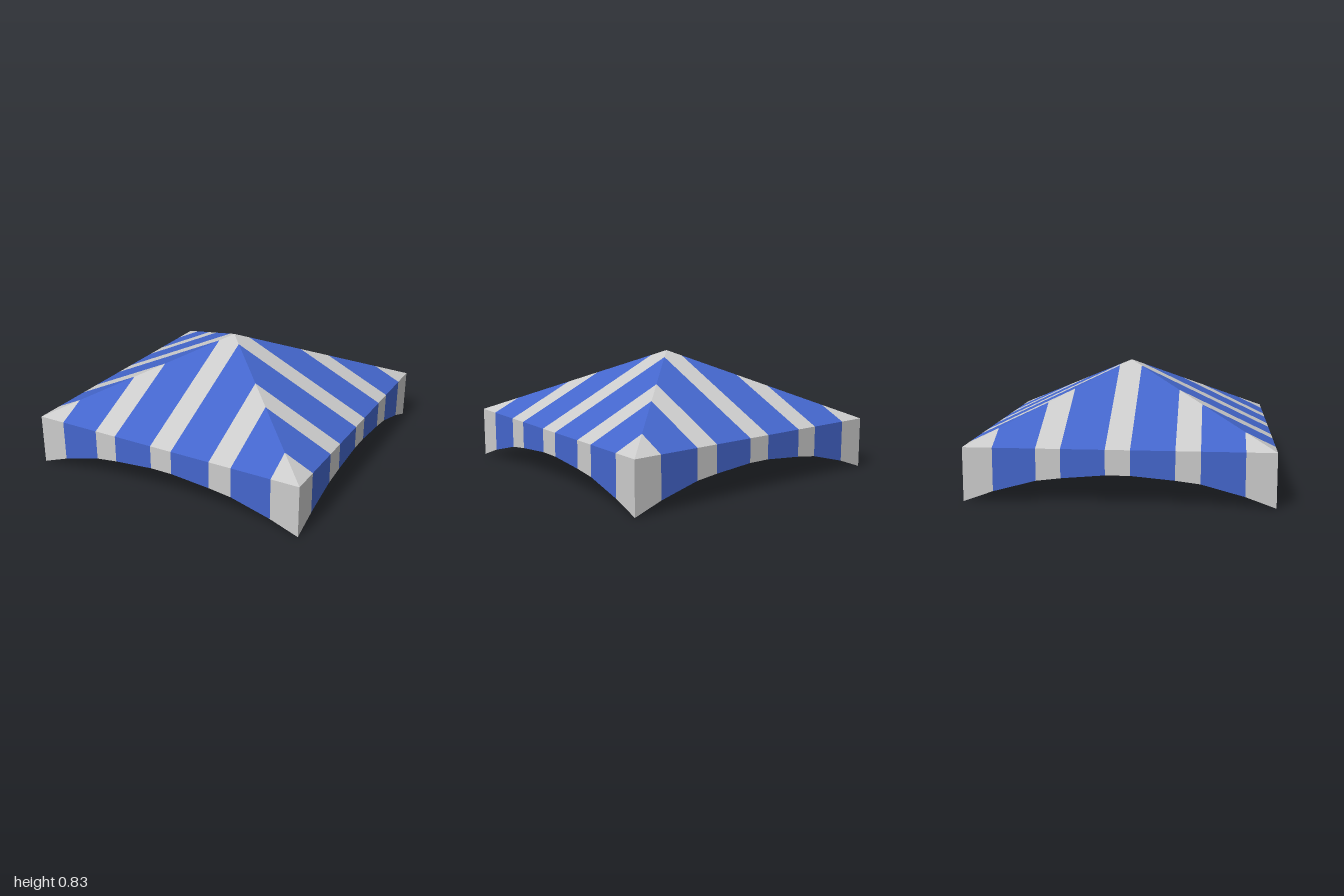
import * as THREE from 'three';

const EAVE = 0.355, APEX = 0.83;
// stripe edges across one side, and the height of the scalloped hem at each edge
const EDGES = [-1, -0.805, -0.525, -0.365, -0.08, 0.08, 0.365, 0.525, 0.805, 1];
const HEM = [0, 0.07, 0.145, 0.165, 0.19, 0.19, 0.165, 0.145, 0.07, 0];

function makeMaterial(color) {
  return new THREE.MeshStandardMaterial({ color, side: THREE.DoubleSide, flatShading: true });
}

function polygon(points) {
  return new THREE.ShapeGeometry(new THREE.Shape(points.map(([x, y]) => new THREE.Vector2(x, y))));
}

// one stripe of the sloping roof, cut off at the hip lines
function roofStripe(a, b) {
  const points = [[a, -1], [b, -1]];
  if (b < 1) points.push([b, -Math.abs(b)]);
  if (a < 0 && b > 0) points.push([0, 0]);
  if (a > -1) points.push([a, -Math.abs(a)]);
  const geometry = polygon(points).rotateX(-Math.PI / 2);
  const pos = geometry.attributes.position;
  for (let i = 0; i < pos.count; i++) {
    pos.setY(i, EAVE + (1 - pos.getZ(i)) * (APEX - EAVE));
  }
  geometry.computeVertexNormals();
  return geometry;
}

// one stripe of the hanging valance
function valanceStripe(i) {
  const a = EDGES[i], b = EDGES[i + 1];
  return polygon([[a, HEM[i]], [b, HEM[i + 1]], [b, EAVE], [a, EAVE]]).translate(0, 0, 1);
}

export function createModel() {
  const model = new THREE.Group();
  model.name = 'canopy';
  const grey = makeMaterial(0xcccccc);
  const blue = makeMaterial(0x4466cc);

  // four identical sides around the apex
  ['front', 'left', 'back', 'right'].forEach((name, k) => {
    const side = new THREE.Group();
    side.name = name + 'Side';
    side.rotation.y = k * Math.PI / 2;
    for (let i = 0; i < EDGES.length - 1; i++) {
      const material = i % 2 ? blue : grey;
      const roof = new THREE.Mesh(roofStripe(EDGES[i], EDGES[i + 1]), material);
      roof.name = 'roofStripe';
      const valance = new THREE.Mesh(valanceStripe(i), material);
      valance.name = 'valanceStripe';
      side.add(roof, valance);
    }
    model.add(side);
  });
  return model;
}
